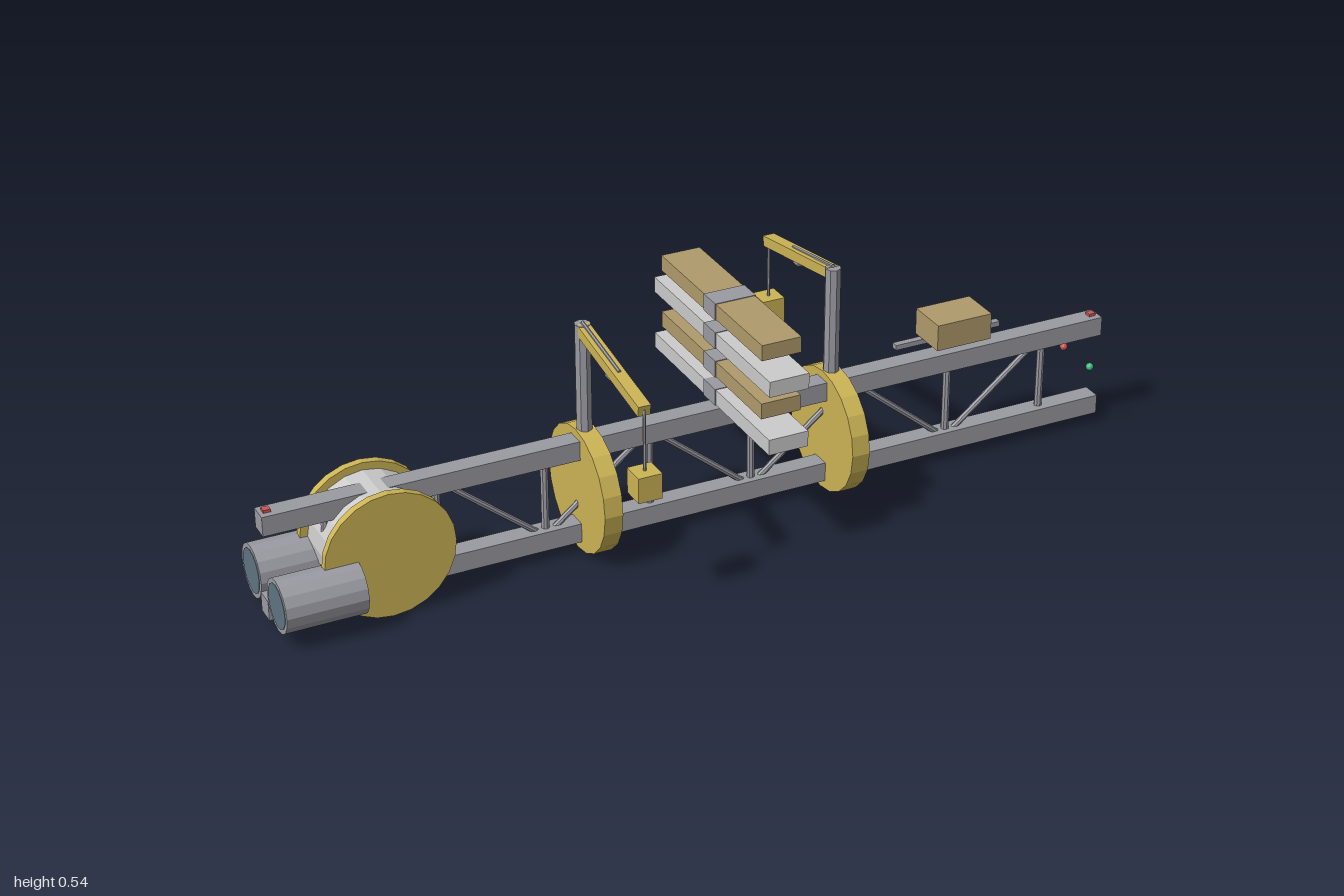
import * as THREE from 'three';

const mat = (color) => new THREE.MeshStandardMaterial({ color, flatShading: true });

export function createModel() {
  const model = new THREE.Group();
  const steel = mat(0x9a9aa2), yellow = mat(0xccb455), brown = mat(0xb09a6c);
  const pale = mat(0xcccccc), glass = mat(0x5f7482), red = mat(0xd05555), green = mat(0x3fc07f);

  const add = (name, geometry, material, x, y, z, parent = model) => {
    const mesh = new THREE.Mesh(geometry, material);
    mesh.name = name;
    mesh.position.set(x, y, z);
    parent.add(mesh);
    return mesh;
  };
  const box = (name, material, w, h, d, x, y, z, parent) =>
    add(name, new THREE.BoxGeometry(w, h, d), material, x, y, z, parent);
  // round bar between two points
  const rod = (name, material, a, b, r, sides = 8, parent = model) => {
    const from = new THREE.Vector3(...a), to = new THREE.Vector3(...b);
    const dir = to.clone().sub(from);
    const mid = from.clone().add(to).multiplyScalar(0.5);
    const mesh = add(name, new THREE.CylinderGeometry(r, r, dir.length(), sides), material, mid.x, mid.y, mid.z, parent);
    mesh.quaternion.setFromUnitVectors(new THREE.Vector3(0, 1, 0), dir.normalize());
    return mesh;
  };
  // cylinder lying along x or z
  const wheel = (name, material, axis, r, length, sides, x, y, z) => {
    const g = new THREE.CylinderGeometry(r, r, length, sides);
    if (axis === 'x') g.rotateZ(Math.PI / 2); else g.rotateX(Math.PI / 2);
    return add(name, g, material, x, y, z);
  };

  // spine: two long beams with a zigzag lattice between them
  const low = 0.047, high = 0.247;
  box('lowerBeam', steel, 2, 0.045, 0.045, 0, low, 0);
  box('upperBeam', steel, 2, 0.045, 0.045, 0, high, 0);
  for (let i = 0; i < 8; i++) {
    const x = -0.86 + i * 0.245;
    rod('latticePost', steel, [x, low, 0], [x, high, 0], 0.009);
    if (i < 7) {
      const rising = i % 2 === 0;
      rod('latticeDiagonal', steel, [x, rising ? low : high, 0], [x + 0.245, rising ? high : low, 0], 0.007);
    }
  }

  // drum with two flanges, and twin engines at the tail
  wheel('drum', pale, 'z', 0.128, 0.14, 20, -0.75, 0.145, 0);
  for (const s of [1, -1]) {
    wheel('drumFlange', yellow, 'z', 0.145, 0.018, 24, -0.75, 0.145, s * 0.073);
    wheel('engine', steel, 'x', 0.06, 0.178, 16, -0.91, 0.09, s * 0.077);
    wheel('engineNozzle', glass, 'x', 0.05, 0.01, 16, -0.995, 0.09, s * 0.077);
  }

  // discs carrying cranes that reach to opposite sides
  for (const [x, s] of [[-0.275, 1], [0.315, -1]]) {
    wheel('disc', yellow, 'x', 0.144, 0.042, 20, x, 0.145, 0);
    const crane = new THREE.Group();
    crane.name = 'crane';
    crane.position.x = x;
    model.add(crane);
    rod('mast', steel, [0, 0.25, 0], [0, 0.534, 0], 0.018, 8, crane);
    const rise = 0.05, reach = 0.297;
    const arm = box('boom', yellow, 0.028, 0.024, Math.hypot(rise, reach), 0, 0.498, s * reach / 2, crane);
    arm.rotation.x = s * Math.atan2(rise, reach);
    rod('boomTie', steel, [0, 0.537, 0], [0, 0.506, s * 0.18], 0.004, 6, crane);
    box('trolley', steel, 0.024, 0.016, 0.023, 0, 0.487, s * 0.148, crane);
    rod('cable', steel, [0, 0.33, s * 0.296], [0, 0.475, s * 0.296], 0.0035, 6, crane);
    box('load', yellow, 0.054, 0.058, 0.054, 0, 0.306, s * 0.296, crane);
  }

  // stack of alternating panels with a strap around each
  for (let i = 0; i < 4; i++) {
    const y = 0.3015 + i * 0.068, wide = i % 2 === 0;
    box('panel', wide ? pale : brown, 0.092, 0.036, wide ? 0.546 : 0.474, 0.067, y, 0);
    box('panelStrap', steel, 0.096, 0.039, 0.054, 0.067, y, 0);
  }

  // cabin with window, lamp and side rail
  box('cabin', brown, 0.136, 0.062, 0.097, 0.633, 0.319, -0.018);
  box('cabinWindow', glass, 0.004, 0.026, 0.072, 0.702, 0.331, -0.018);
  box('cabinLamp', steel, 0.016, 0.02, 0.02, 0.716, 0.31, -0.018);
  box('cabinRail', steel, 0.266, 0.012, 0.016, 0.633, 0.279, -0.046);

  // signal lights
  for (const s of [1, -1]) {
    add('sideLight', new THREE.SphereGeometry(0.009, 12, 8), s > 0 ? green : red, 0.953, 0.17, s * 0.055);
    box('endLight', red, 0.016, 0.008, 0.016, s * 0.983, 0.272, 0);
  }
  return model;
}
